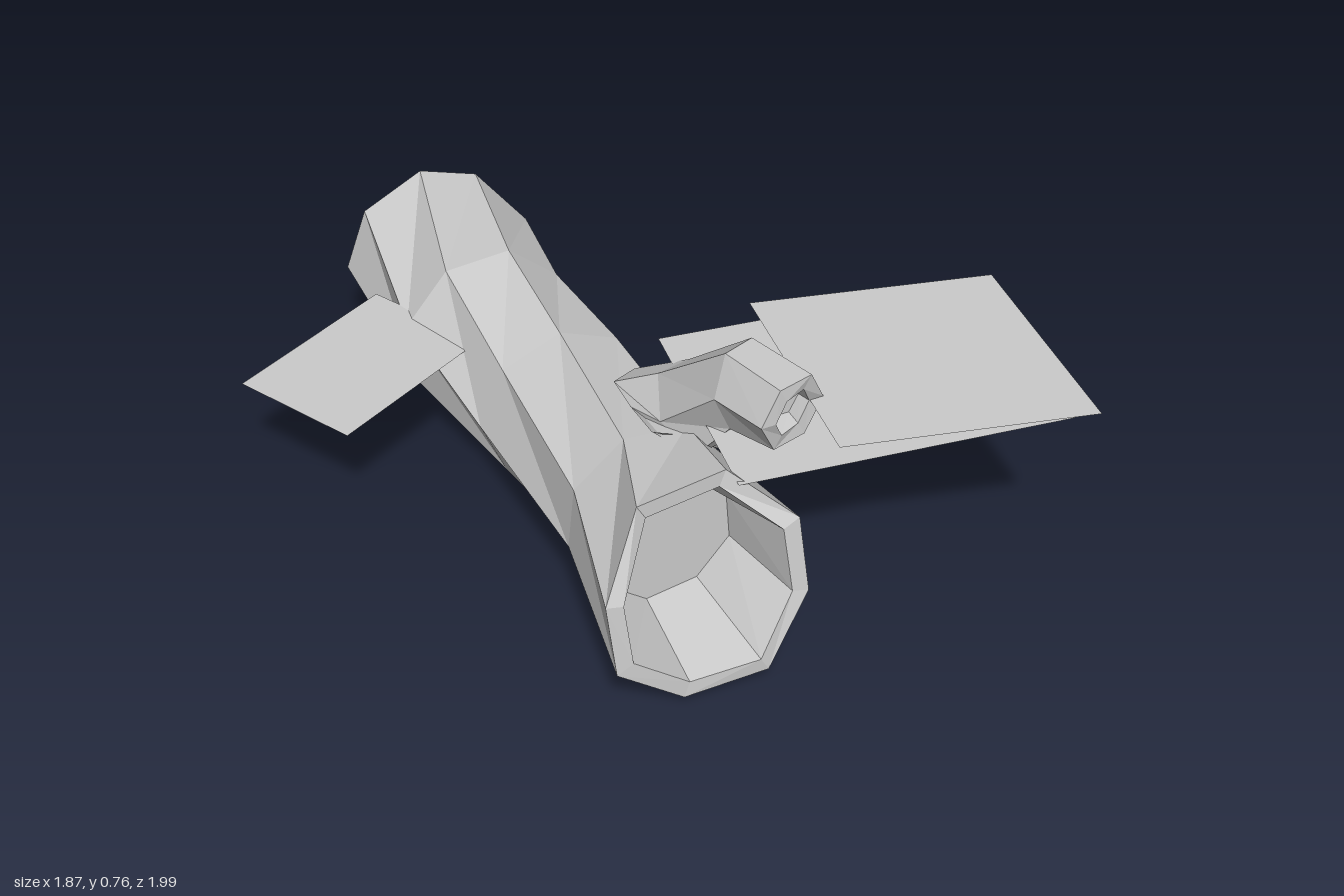
import * as THREE from 'three';

const V = (x, y, z) => new THREE.Vector3(x, y, z);
const points = (list) => list.map((p) => V(...p));
const centroid = (ring) => ring.reduce((a, p) => a.add(p), V(0, 0, 0)).divideScalar(ring.length);

// Skin between successive rings, closed by a fan at each end
function loft(rings) {
  const pos = [];
  const tri = (...pts) => pts.forEach((p) => pos.push(p.x, p.y, p.z));
  const n = rings[0].length;
  const first = rings[0], last = rings[rings.length - 1];
  const c0 = centroid(first), c1 = centroid(last);
  for (let i = 0; i < n; i++) {
    const j = (i + 1) % n;
    tri(c0, first[i], first[j]);
    for (let k = 0; k < rings.length - 1; k++) {
      const a = rings[k], b = rings[k + 1];
      tri(a[i], b[i], a[j]);
      tri(a[j], b[i], b[j]);
    }
    tri(c1, last[j], last[i]);
  }
  const g = new THREE.BufferGeometry();
  g.setAttribute('position', new THREE.Float32BufferAttribute(pos, 3));
  g.computeVertexNormals();
  return g;
}

// Shrink a ring about its centre and push it along z
function inset(ring, scale, dz = 0) {
  const c = centroid(ring);
  return ring.map((p) => V(
    c.x + (p.x - c.x) * scale,
    c.y + (p.y - c.y) * scale,
    (dz ? c.z : p.z) + dz));
}

// Regular ring across the log
function octagon(cx, cy, z, r, degrees) {
  return Array.from({ length: 8 }, (_, i) => {
    const a = THREE.MathUtils.degToRad(degrees + i * 45);
    return V(cx + r * Math.cos(a), cy + r * Math.sin(a), z);
  });
}

// Six-sided ring spanned by a side and an up vector
function hexagon(c, side, up) {
  return Array.from({ length: 6 }, (_, i) => {
    const a = i * Math.PI / 3;
    return c.clone().addScaledVector(side, Math.cos(a)).addScaledVector(up, Math.sin(a));
  });
}

// Level four-sided card from a back corner [x, z] and its two edges
function card(y, [x, z], [ux, uz], [vx, vz]) {
  const g = new THREE.PlaneGeometry(1, 1);
  const p = g.attributes.position;
  for (let i = 0; i < p.count; i++) {
    const s = p.getX(i) + 0.5, t = 0.5 - p.getY(i);
    p.setXYZ(i, x + ux * s + vx * t, y, z + uz * s + vz * t);
  }
  g.computeVertexNormals();
  return g;
}

export function createModel() {
  const model = new THREE.Group();
  model.name = 'hollowLog';
  const bark = new THREE.MeshStandardMaterial({ color: 0xcccccc, flatShading: true });
  const leafMaterial = new THREE.MeshStandardMaterial({ color: 0xcccccc, side: THREE.DoubleSide });

  const add = (name, geometry, material) => {
    const mesh = new THREE.Mesh(geometry, material);
    mesh.name = name;
    model.add(mesh);
  };

  // Twisted trunk with ragged, hollowed ends
  const front = points([
    [0.09, 0.43, 0.77], [-0.07, 0.57, 0.68], [-0.31, 0.54, 0.68], [-0.45, 0.37, 0.8],
    [-0.43, 0.16, 0.82], [-0.25, 0.02, 0.83], [-0.03, 0.05, 0.86], [0.11, 0.21, 0.8],
  ]);
  const back = points([
    [0.05, 0.14, -0.88], [0.09, 0.35, -0.88], [-0.03, 0.49, -0.97], [-0.2, 0.54, -0.98],
    [-0.38, 0.45, -0.98], [-0.44, 0.26, -1.0], [-0.34, 0.07, -0.97], [-0.11, 0.01, -0.97],
  ]);
  add('trunk', loft([
    inset(front, 0.65, -0.22),
    inset(front, 0.83),
    front,
    octagon(-0.13, 0.27, 0.38, 0.235, 17),
    octagon(-0.14, 0.24, -0.13, 0.24, 0),
    octagon(-0.195, 0.27, -0.52, 0.25, -18),
    back,
    inset(back, 0.83),
    inset(back, 0.65, 0.22),
  ]), bark);

  // Bent hollow branch stub, flaring into the trunk
  const tip = hexagon(V(0.12, 0.665, 0.66), V(0.1, 0, -0.025), V(0, 0.11, 0.01));
  add('branch', loft([
    inset(tip, 0.5, -0.06),
    inset(tip, 0.6),
    tip,
    hexagon(V(0.07, 0.655, 0.49), V(0.09, 0, -0.03), V(0, 0.12, -0.02)),
    hexagon(V(0.02, 0.49, 0.33), V(0.1, 0, -0.02), V(0, 0.07, -0.12)),
    points([
      [0.11, 0.36, 0.22], [-0.02, 0.46, 0.08], [-0.1, 0.47, 0.12],
      [-0.12, 0.49, 0.26], [-0.13, 0.51, 0.4], [0.07, 0.38, 0.39],
    ]),
  ]), bark);

  // Flat leaf cards
  add('leftLowerLeaf', card(0.535, [0.05, 0.08], [0.884, 0.134], [-0.1, 0.63]), leafMaterial);
  add('leftUpperLeaf', card(0.665, [0.25, 0.204], [0.636, 0.164], [-0.098, 0.624]), leafMaterial);
  add('rightLeaf', card(0.365, [-0.94, -0.437], [0.477, -0.243], [0.175, 0.339]), leafMaterial);
  return model;
}
